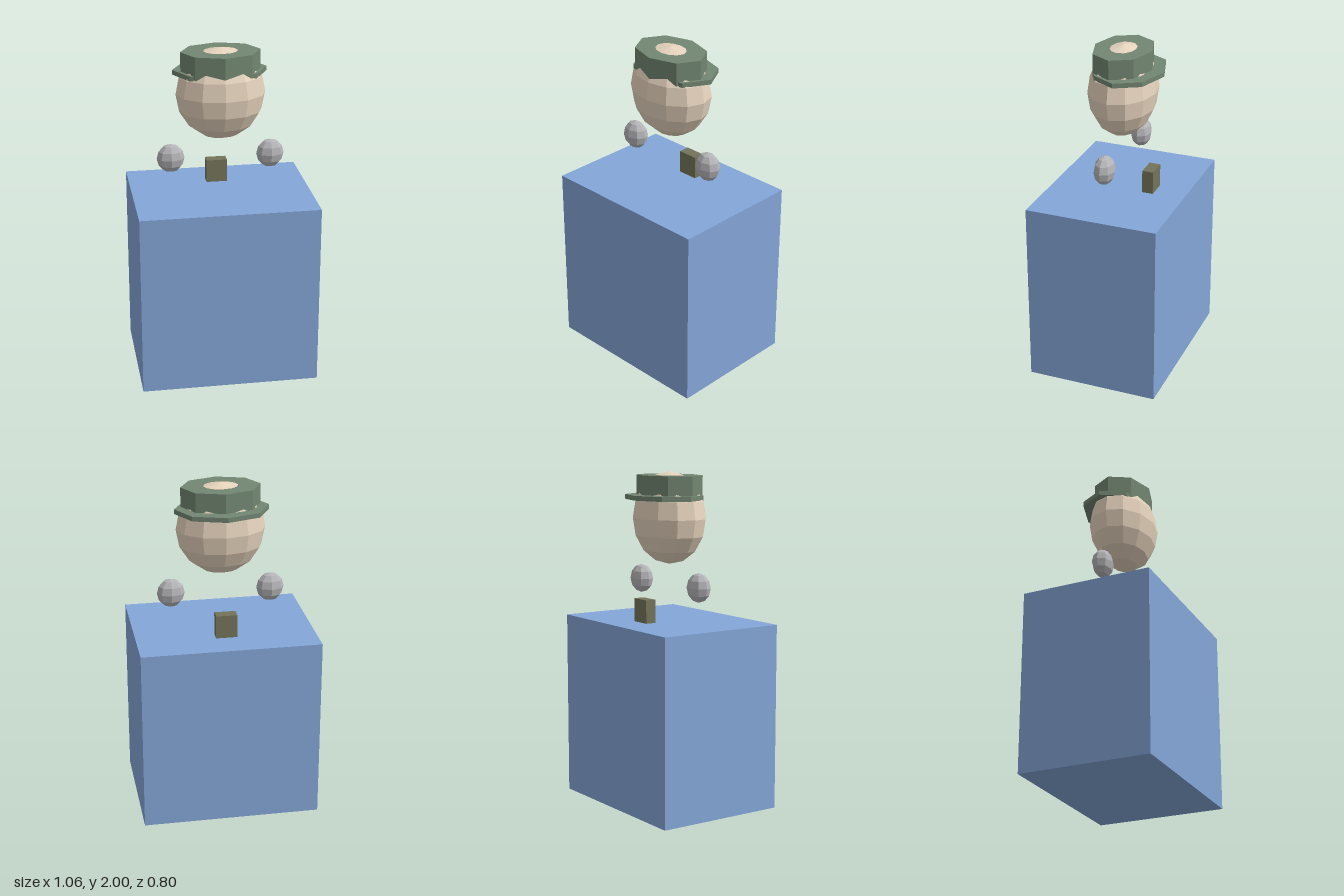
import * as THREE from 'three';

const paint = (color) => new THREE.MeshStandardMaterial({ color, flatShading: true });

export function createModel() {
  const model = new THREE.Group();
  const blue = paint(0x84a6d8), skin = paint(0xe6d3bd), green = paint(0x728672);
  const olive = paint(0x74745a), grey = paint(0xb4b4b8);

  function add(name, geometry, material, position, scale = [1, 1, 1]) {
    const mesh = new THREE.Mesh(geometry, material);
    mesh.name = name;
    mesh.position.set(...position);
    mesh.scale.set(...scale);
    model.add(mesh);
  }

  // Large block body with a small block standing near the back of its top
  add('body', new THREE.BoxGeometry(1.064, 1.112, 0.8), blue, [0, 0.556, 0]);
  add('backBlock', new THREE.BoxGeometry(0.126, 0.14, 0.067), olive, [0, 1.181, -0.176]);

  // Faceted egg-shaped head
  add('head', new THREE.SphereGeometry(1, 12, 8), skin, [0, 1.725, 0], [0.265, 0.275, 0.2]);

  // Octagonal cap, with the brim shifted to the back
  const octagon = new THREE.CylinderGeometry(1, 1, 1, 8);
  add('cap', octagon, green, [0, 1.909, 0], [0.235, 0.139, 0.175]);
  add('capBrim', octagon, green, [0, 1.849, -0.04], [0.278, 0.028, 0.209]);

  // Floating hands
  const ball = new THREE.SphereGeometry(1, 8, 6);
  for (const side of [1, -1]) {
    add(side > 0 ? 'leftHand' : 'rightHand', ball, grey,
      [side * 0.299, 1.335, 0], [0.083, 0.087, 0.063]);
  }
  return model;
}
